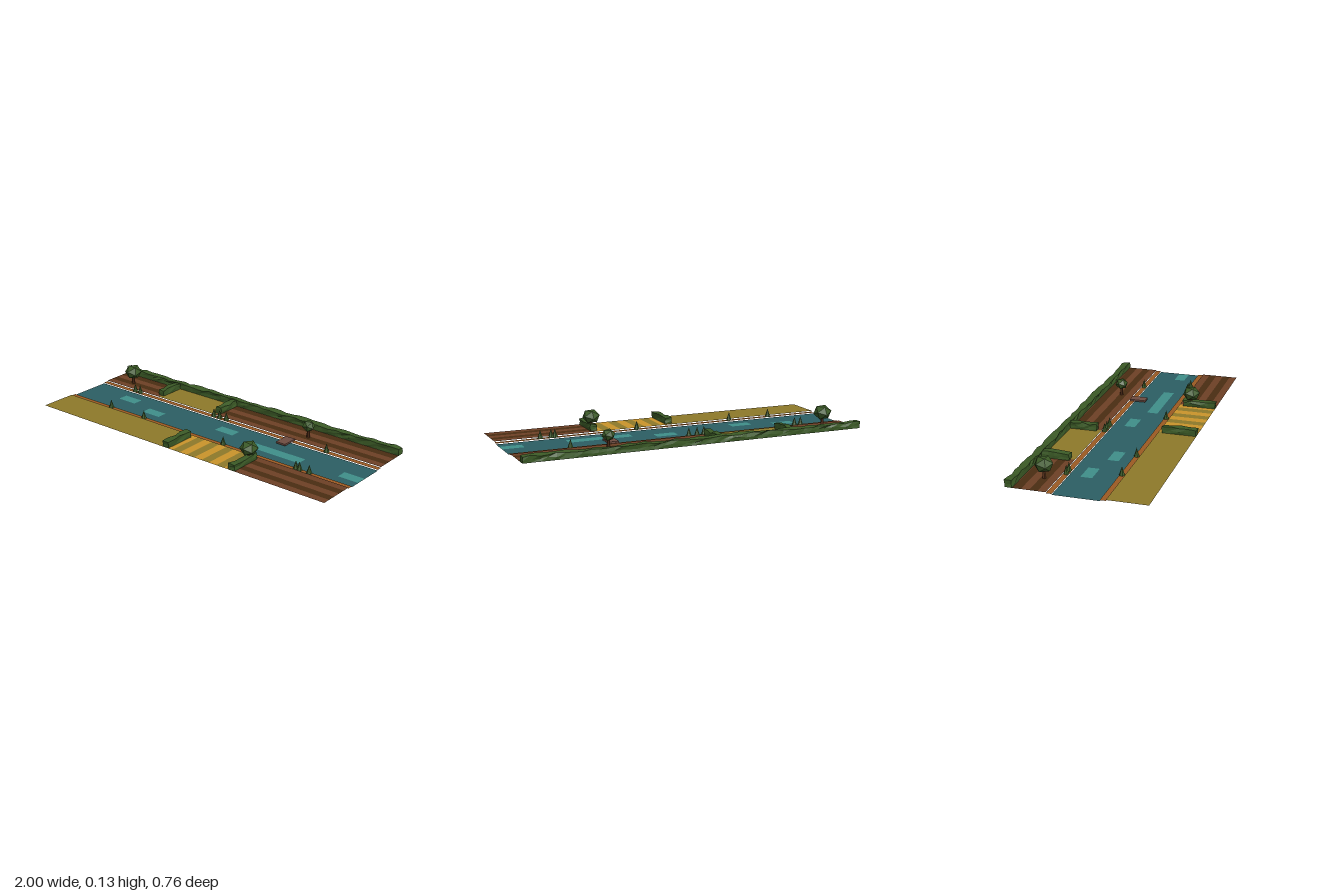
import * as THREE from 'three';

const mat = (name, color, extra = {}) => {
  const m = new THREE.MeshStandardMaterial({ color, ...extra });
  m.name = name;
  return m;
};

// Repeatable noise from a position, so that shared corners move together
const noise = (x, y, z, k) => {
  const s = Math.sin(Math.round(x * 1000) * 12.99 + Math.round(y * 1000) * 78.23 + Math.round(z * 1000) * 37.72 + k * 19.19) * 43758.55;
  return (s - Math.floor(s)) * 2 - 1;
};

export function createModel() {
  const root = new THREE.Group();
  root.name = 'riverFarmland';
  const flat = { side: THREE.DoubleSide };
  const water = mat('water', 0x2c5f64, flat);
  const ripple = mat('ripple', 0x3f8f8a, flat);
  const bank = mat('bankEarth', 0x9c5a22, flat);
  const meadow = mat('meadowOlive', 0x8e792a, flat);
  const crop = mat('cropGold', 0xca942b, flat);
  const soil = mat('soil', 0x6e4026, flat);
  const furrow = mat('furrow', 0x4a2d12, flat);
  const leaf = mat('leaf', 0x3b5a26, { flatShading: true });
  const bark = mat('bark', 0x58311a, { flatShading: true });
  const plank = mat('plank', 0x704d42);

  const add = (name, geo, material, parent = root) => {
    const m = new THREE.Mesh(geo, material);
    m.name = name;
    parent.add(m);
    return m;
  };
  // Level sheet between two corners at height y
  const sheet = (name, x0, x1, z0, z1, y, material) =>
    add(name, new THREE.PlaneGeometry(x1 - x0, z1 - z0).rotateX(-Math.PI / 2)
      .translate((x0 + x1) / 2, y, (z0 + z1) / 2), material);

  // River in rows of tiles; each row lists the stretches of light water
  const rows = [[], [[-0.75, -0.625], [0, 0.125]], [[-0.5, -0.375], [0.25, 0.625], [0.875, 1]], []];
  rows.forEach((lights, r) => {
    const z0 = -0.125 + r * 0.0625, z1 = z0 + 0.0625;
    let x = -1;
    for (const [a, b] of lights) {
      if (a > x) sheet('riverWater', x, a, z0, z1, 0, water);
      sheet('riverRipple', a, b, z0, z1, 0, ripple);
      x = b;
    }
    if (x < 1) sheet('riverWater', x, 1, z0, z1, 0, water);
  });

  // Banks
  sheet('backBank', -1, 1, -0.156, -0.125, 0.005, bank);
  sheet('frontBank', -1, 1, 0.125, 0.156, 0.005, bank);

  // Ploughed fields with furrows along x
  const F = 0.01, W = 0.219;
  const ploughed = (x0, x1, z0) => {
    for (let i = 0; i < 5; i++)
      sheet('ploughedRow', x0, x1, z0 + i * W / 5, z0 + (i + 1) * W / 5, F, i % 2 ? furrow : soil);
  };
  ploughed(-1, -0.57, -0.375);
  sheet('backMeadow', -0.57, -0.125, -0.375, -0.156, F, meadow);
  ploughed(-0.125, 1, -0.375);
  sheet('frontMeadow', -1, -0.045, 0.156, 0.375, F, meadow);
  ploughed(0.415, 1, 0.156);
  // Crop field with stripes along z
  const s = 0.46 / 9;
  for (let i = 0; i < 9; i++)
    sheet('cropStripe', -0.045 + i * s, -0.045 + (i + 1) * s, 0.156, 0.375, F, i % 2 ? meadow : crop);

  // Rough hedges: boxes whose upper corners are shifted
  const hedge = (name, x0, x1, z0, z1) => {
    const lx = x1 - x0, lz = z1 - z0;
    const seg = (l) => Math.max(1, Math.round(l / 0.045));
    const g = new THREE.BoxGeometry(lx, 0.036, lz, seg(lx), 2, seg(lz))
      .translate((x0 + x1) / 2, 0.028, (z0 + z1) / 2);
    const p = g.attributes.position;
    for (let i = 0; i < p.count; i++) {
      const x = p.getX(i), y = p.getY(i), z = p.getZ(i);
      if (y < 0.015) continue;
      const nx = THREE.MathUtils.clamp(x + noise(x, y, z, 1) * 0.005, -1, 1);
      p.setXYZ(i, nx, y + noise(x, y, z, 2) * 0.005, z + noise(x, y, z, 3) * 0.005);
    }
    g.computeVertexNormals();
    add(name, g, leaf);
  };
  hedge('backHedge', -1, 1, -0.375, -0.335);
  for (const x of [-0.57, -0.125]) hedge('backCrossHedge', x - 0.02, x + 0.02, -0.34, -0.182);
  for (const x of [-0.045, 0.415]) hedge('frontCrossHedge', x - 0.02, x + 0.02, 0.18, 0.373);

  // Trees: position, crown radius, crown height
  for (const [x, z, r, y, ry] of [
    [-0.84, -0.225, 0.053, 0.088, 0.045],
    [0.483, -0.23, 0.038, 0.08, 0.034],
    [0.415, 0.225, 0.052, 0.086, 0.042],
  ]) {
    const tree = new THREE.Group();
    tree.name = 'tree';
    tree.position.set(x, 0, z);
    root.add(tree);
    add('trunk', new THREE.CylinderGeometry(0.008, 0.01, 0.05, 6).translate(0, 0.035, 0), bark, tree);
    const crown = add('crown', new THREE.IcosahedronGeometry(1, 0).rotateX(0.45).rotateY(x * 5), leaf, tree);
    crown.scale.set(r, ry, r);
    crown.position.y = y;
  }

  // Cone shrubs along both banks
  const shrub = (x, z) =>
    add('bankShrub', new THREE.ConeGeometry(0.016, 0.05, 6).translate(x, 0.03, z), leaf);
  for (const x of [-0.745, -0.705, -0.122, -0.08, -0.03, 0.665]) shrub(x, -0.14);
  for (const x of [-0.68, -0.42, 0.17, 0.66, 0.683, 0.745]) shrub(x, 0.138);

  // Landing stage
  add('jetty', new THREE.BoxGeometry(0.06, 0.01, 0.094).translate(0.42, 0.014, -0.102), plank);

  return root;
}
